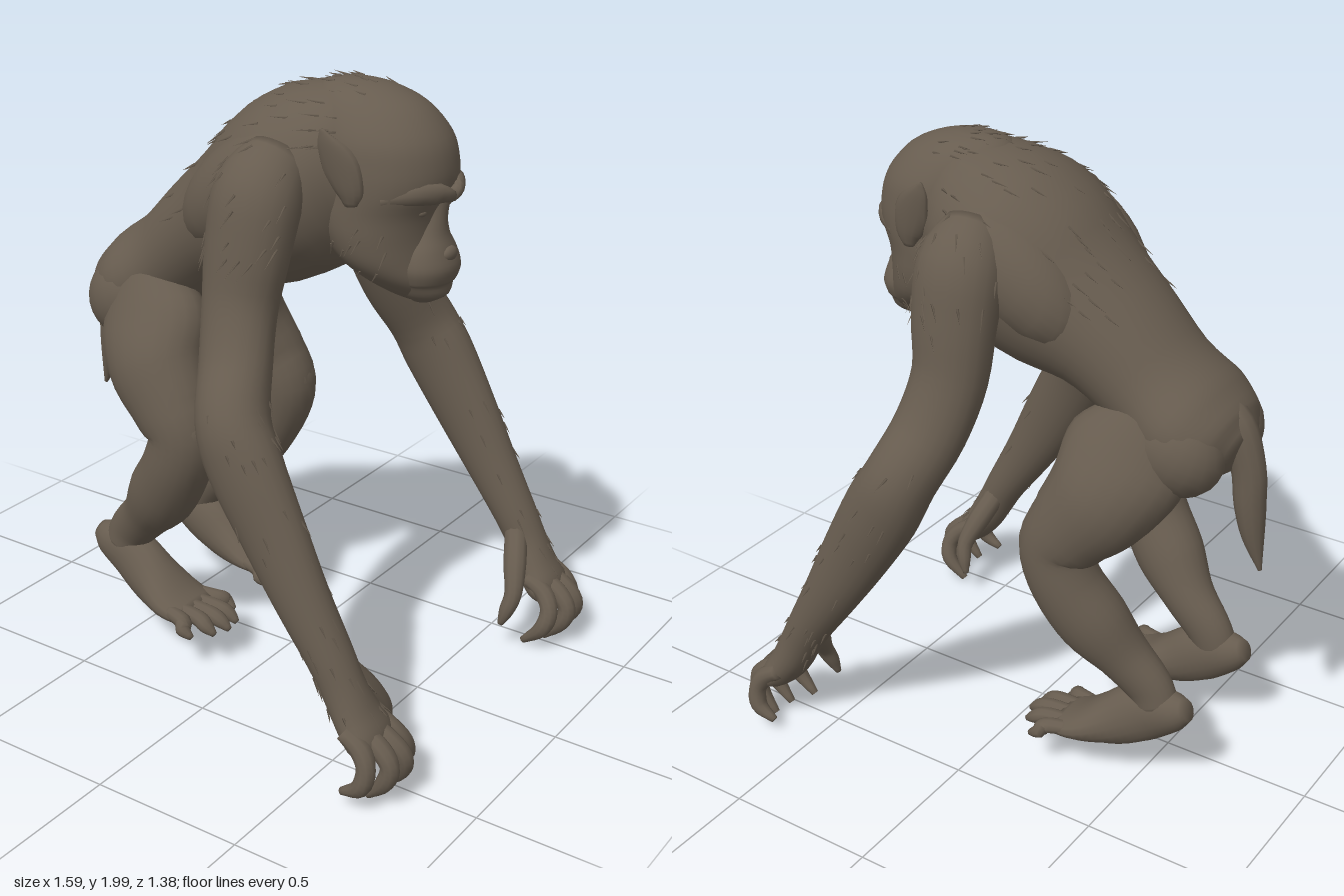
import * as THREE from 'three';
import { mergeGeometries } from 'three/addons/utils/BufferGeometryUtils.js';

const hide = new THREE.MeshStandardMaterial({ color: 0x675c4f });
hide.name = 'brown hide';

let seed = 7;
const rnd = () => (seed = (seed * 16807) % 2147483647) / 2147483647;

// Smooth tube through stations [x, y, z, half width along z, half depth]
function loft(stations, { segs = 20, steps = 4, up = null, s = 1 } = {}) {
  const path = new THREE.CatmullRomCurve3(
    stations.map(p => new THREE.Vector3(p[0], p[1], p[2] * s)), false, 'catmullrom', 0.5);
  const size = new THREE.CatmullRomCurve3(
    stations.map(p => new THREE.Vector3(p[3], p[4], 0)), false, 'catmullrom', 0.5);
  const rows = (stations.length - 1) * steps;
  const pos = [], idx = [];
  for (let i = -1; i <= rows + 1; i++) {
    const t = Math.min(Math.max(i / rows, 0), 1);
    const cap = i < 0 || i > rows ? 0 : 1;
    const c = path.getPoint(t), r = size.getPoint(t);
    const T = up ? up.clone() : path.getTangent(t);
    const S = new THREE.Vector3(0, 0, 1).addScaledVector(T, -T.z).normalize();
    const N = T.clone().cross(S);
    for (let j = 0; j < segs; j++) {
      const a = j / segs * Math.PI * 2;
      const p = c.clone()
        .addScaledVector(S, Math.cos(a) * Math.max(r.x, 0.003) * cap)
        .addScaledVector(N, Math.sin(a) * Math.max(r.y, 0.003) * cap);
      pos.push(p.x, p.y, p.z);
    }
  }
  for (let i = 0; i < rows + 2; i++) for (let j = 0; j < segs; j++) {
    const a = i * segs + j, b = i * segs + (j + 1) % segs, d = a + segs, c = b + segs;
    idx.push(a, b, d, b, c, d);
  }
  const g = new THREE.BufferGeometry();
  g.setAttribute('position', new THREE.Float32BufferAttribute(pos, 3));
  g.setIndex(idx);
  g.computeVertexNormals();
  return g;
}

// Thin tufts lying along the surface, wherever the rule allows them
function tufts(geo, count, flow, allow, len = 0.065) {
  const p = geo.attributes.position, n = geo.attributes.normal, out = [];
  for (let k = 0; k < 6000 && out.length < count; k++) {
    const i = Math.floor(rnd() * p.count);
    const P = new THREE.Vector3().fromBufferAttribute(p, i);
    const N = new THREE.Vector3().fromBufferAttribute(n, i);
    if (!allow(P, N)) continue;
    const dir = flow.clone().addScaledVector(N, -flow.dot(N)).normalize()
      .addScaledVector(N, 0.15 + rnd() * 0.15).normalize();
    const l = len * (0.6 + rnd() * 0.6);
    const cone = new THREE.ConeGeometry(0.005, l, 4);
    cone.translate(0, l * 0.3, 0);
    cone.applyQuaternion(new THREE.Quaternion().setFromUnitVectors(new THREE.Vector3(0, 1, 0), dir));
    cone.translate(P.x, P.y, P.z);
    out.push(cone);
  }
  return mergeGeometries(out);
}

export function createModel() {
  const root = new THREE.Group();
  root.name = 'stoopedApe';
  const add = (name, geo) => {
    const m = new THREE.Mesh(geo, hide);
    m.name = name;
    root.add(m);
    return m;
  };
  const blob = (name, x, y, z, rx, ry, rz, tilt = 0) => {
    const m = add(name, new THREE.SphereGeometry(1, 20, 14));
    m.position.set(x, y, z);
    m.scale.set(rx, ry, rz);
    m.rotation.z = tilt;
  };

  // Torso, from rump to neck
  const torso = loft([
    [-0.71, 1.17, 0, 0.09, 0.07], [-0.65, 1.19, 0, 0.19, 0.13], [-0.55, 1.235, 0, 0.235, 0.165],
    [-0.42, 1.325, 0, 0.215, 0.17], [-0.26, 1.45, 0, 0.24, 0.2], [-0.07, 1.555, 0, 0.295, 0.265],
    [0.08, 1.66, 0, 0.32, 0.285], [0.21, 1.72, 0, 0.27, 0.255], [0.32, 1.74, 0, 0.19, 0.21],
  ], { segs: 32 });
  add('torso', torso);
  add('backFur', tufts(torso, 90, new THREE.Vector3(-0.85, -0.4, 0),
    (p, n) => p.x > -0.35 && p.x < 0.3 && n.y > 0.25));
  blob('pelvis', -0.44, 1.17, 0, 0.16, 0.1, 0.12, 0.4);
  blob('groin', -0.36, 1.09, 0, 0.045, 0.1, 0.05);

  // Tail
  add('tail', loft([
    [-0.6, 1.31, 0, 0.05, 0.05], [-0.68, 1.25, 0, 0.055, 0.06], [-0.73, 1.12, 0, 0.047, 0.055],
    [-0.743, 1, 0, 0.047, 0.05], [-0.76, 0.89, 0, 0.035, 0.035], [-0.79, 0.78, 0, 0.006, 0.006],
  ], { segs: 12 }));

  // Head, stacked from chin to crown
  const head = loft([
    [0.455, 1.345, 0, 0.03, 0.04], [0.44, 1.37, 0, 0.075, 0.085], [0.405, 1.42, 0, 0.14, 0.13],
    [0.365, 1.48, 0, 0.19, 0.155], [0.34, 1.55, 0, 0.21, 0.175], [0.33, 1.62, 0, 0.213, 0.195],
    [0.345, 1.69, 0, 0.21, 0.21], [0.34, 1.76, 0, 0.205, 0.218], [0.32, 1.84, 0, 0.19, 0.215],
    [0.28, 1.92, 0, 0.14, 0.185], [0.25, 1.965, 0, 0.08, 0.12], [0.24, 1.982, 0, 0.03, 0.05],
  ], { segs: 32, up: new THREE.Vector3(0, 1, 0) });
  add('head', head);
  add('crownFur', tufts(head, 20, new THREE.Vector3(-1, -0.2, 0), (p, n) => p.x < 0.35 && n.y > 0.4, 0.05));
  add('beardFringe', tufts(head, 24, new THREE.Vector3(-0.5, -0.85, 0),
    (p, n) => p.x < 0.45 && p.x > 0.25 && p.y < 1.6 && Math.abs(n.z) > 0.6, 0.05));

  // Muzzle, stacked from chin to between the eyes
  add('muzzle', loft([
    [0.48, 1.345, 0, 0.04, 0.035], [0.483, 1.37, 0, 0.075, 0.072], [0.485, 1.405, 0, 0.095, 0.077],
    [0.488, 1.42, 0, 0.105, 0.085], [0.488, 1.46, 0, 0.115, 0.094], [0.483, 1.51, 0, 0.1, 0.084],
    [0.475, 1.56, 0, 0.07, 0.075], [0.475, 1.62, 0, 0.045, 0.073], [0.48, 1.68, 0, 0.035, 0.08],
  ], { segs: 24, up: new THREE.Vector3(0, 1, 0) }));
  blob('noseTip', 0.56, 1.5, 0, 0.02, 0.024, 0.036);

  for (const s of [1, -1]) {
    const side = s > 0 ? 'left' : 'right';
    const part = (name, st, o = {}) => add(side + name, loft(st, { ...o, s }));

    // Face details and ears
    part('Brow', [[0.56, 1.675, 0, 0.02, 0.022], [0.55, 1.69, 0.05, 0.024, 0.032],
      [0.505, 1.695, 0.115, 0.024, 0.032], [0.43, 1.68, 0.18, 0.012, 0.016]], { segs: 10 });
    blob(side + 'Eye', 0.502, 1.632, s * 0.07, 0.018, 0.014, 0.024);
    part('Ear', [[0.35, 1.66, 0.2, 0.018, 0.025], [0.345, 1.71, 0.21, 0.022, 0.05],
      [0.32, 1.78, 0.222, 0.02, 0.062], [0.285, 1.84, 0.235, 0.013, 0.035],
      [0.27, 1.88, 0.242, 0.004, 0.006]], { segs: 12 });

    // Shoulder blade under the back
    blob(side + 'ShoulderBlade', -0.03, 1.65, s * 0.18, 0.28, 0.15, 0.14, 0.7);

    // Arm
    const armGeo = loft([
      [0.1, 1.77, 0.2, 0.09, 0.1], [0.09, 1.68, 0.295, 0.12, 0.14], [0.085, 1.53, 0.345, 0.108, 0.138],
      [0.08, 1.36, 0.38, 0.1, 0.122], [0.11, 1.2, 0.445, 0.098, 0.118], [0.16, 1.06, 0.53, 0.108, 0.115],
      [0.22, 0.94, 0.555, 0.098, 0.125], [0.33, 0.75, 0.565, 0.082, 0.112], [0.43, 0.58, 0.57, 0.076, 0.092],
      [0.53, 0.42, 0.57, 0.072, 0.074], [0.58, 0.33, 0.57, 0.07, 0.068], [0.625, 0.25, 0.565, 0.085, 0.064],
      [0.67, 0.19, 0.562, 0.1, 0.056], [0.7, 0.155, 0.56, 0.085, 0.032],
    ], { s, segs: 22 });
    add(side + 'Arm', armGeo);
    add(side + 'ShoulderFur', tufts(armGeo, 26, new THREE.Vector3(-0.4, -0.7, s * 0.5),
      (p, n) => p.y > 1.5 && n.z * s > 0.1));
    add(side + 'ForearmFur', tufts(armGeo, 45, new THREE.Vector3(0.5, -0.85, 0),
      (p, n) => p.y < 1.15 && p.y > 0.25 && (n.z * s > 0.2 || n.x > 0.4), 0.05));

    // Fingers and thumb: base z, tip z, knuckle x, tip x, tip height
    for (const [z0, z1, kx, tx, ty] of [[0.49, 0.445, 0.73, 0.65, 0.015], [0.54, 0.52, 0.765, 0.69, 0.01],
      [0.59, 0.6, 0.76, 0.69, 0.015], [0.64, 0.665, 0.715, 0.64, 0.045]]) {
      part('Finger', [[0.63, 0.23, z0, 0.028, 0.026], [(0.66 + kx) / 2, 0.19, z0, 0.033, 0.032],
        [kx, 0.14, (z0 + z1) / 2, 0.03, 0.03], [kx - 0.012, 0.08, z1, 0.027, 0.028],
        [tx, ty, z1, 0.012, 0.012]], { segs: 10 });
    }
    part('Thumb', [[0.56, 0.37, 0.53, 0.035, 0.04], [0.595, 0.28, 0.465, 0.038, 0.04],
      [0.62, 0.2, 0.415, 0.03, 0.03], [0.61, 0.14, 0.39, 0.024, 0.025],
      [0.595, 0.09, 0.378, 0.01, 0.01]], { segs: 10 });

    // Buttock and leg
    blob(side + 'Buttock', -0.55, 1.185, s * 0.12, 0.16, 0.145, 0.13, 0.5);
    part('Leg', [
      [-0.47, 1.29, 0.12, 0.09, 0.11], [-0.42, 1.15, 0.17, 0.125, 0.2], [-0.365, 1.02, 0.225, 0.145, 0.18],
      [-0.285, 0.91, 0.262, 0.122, 0.145], [-0.23, 0.82, 0.272, 0.112, 0.12], [-0.265, 0.7, 0.27, 0.11, 0.115],
      [-0.35, 0.57, 0.242, 0.108, 0.118], [-0.44, 0.46, 0.21, 0.085, 0.088],
      [-0.525, 0.37, 0.195, 0.066, 0.08], [-0.56, 0.3, 0.195, 0.06, 0.075],
    ], { segs: 22 });
    blob(side + 'Kneecap', -0.175, 0.85, s * 0.275, 0.06, 0.09, 0.08, 0.3);

    // Foot and toes
    part('Foot', [[-0.67, 0.325, 0.195, 0.03, 0.035], [-0.62, 0.305, 0.195, 0.058, 0.068],
      [-0.52, 0.265, 0.195, 0.07, 0.098], [-0.42, 0.207, 0.205, 0.088, 0.088],
      [-0.32, 0.168, 0.215, 0.112, 0.055], [-0.24, 0.15, 0.215, 0.108, 0.032]], { segs: 18 });
    for (const [z0, z1, tx] of [[0.135, 0.1, -0.17], [0.18, 0.165, -0.11], [0.22, 0.22, -0.1],
      [0.26, 0.275, -0.12], [0.295, 0.335, -0.17]]) {
      part('Toe', [[-0.3, 0.165, z0, 0.024, 0.024], [(tx - 0.27) / 2, 0.158, (z0 + z1) / 2, 0.028, 0.026],
        [tx - 0.035, 0.143, z1, 0.026, 0.024], [tx, 0.122, z1, 0.01, 0.01]], { segs: 10 });
    }
  }
  return root;
}
